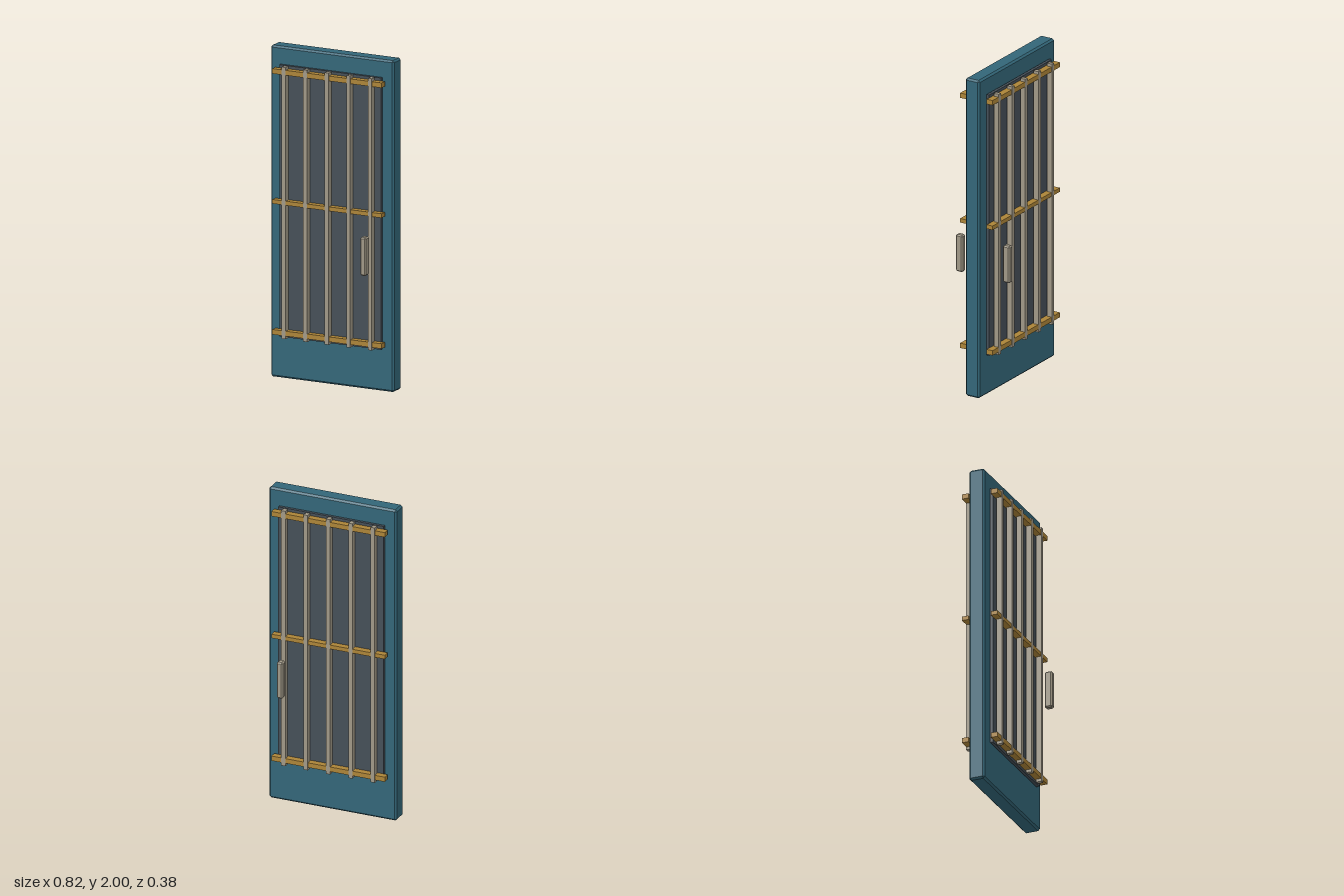
import * as THREE from 'three';
import { ConvexGeometry } from 'three/addons/geometries/ConvexGeometry.js';

const mat = (color) => new THREE.MeshStandardMaterial({ color, flatShading: true });

// Box with every edge and corner cut flat by c
function chamferBox(w, h, d, c) {
  const points = [];
  for (const x of [-1, 1]) for (const y of [-1, 1]) for (const z of [-1, 1]) {
    const X = w / 2, Y = h / 2, Z = d / 2;
    points.push(
      new THREE.Vector3(x * X, y * (Y - c), z * (Z - c)),
      new THREE.Vector3(x * (X - c), y * Y, z * (Z - c)),
      new THREE.Vector3(x * (X - c), y * (Y - c), z * Z));
  }
  return new ConvexGeometry(points);
}

function add(parent, name, geometry, material, x, y, z) {
  const mesh = new THREE.Mesh(geometry, material);
  mesh.name = name;
  mesh.position.set(x, y, z);
  parent.add(mesh);
}

export function createModel() {
  const model = new THREE.Group();
  model.name = 'barredDoor';
  const blue = mat(0x336678), dark = mat(0x454f57), brass = mat(0xac8438), steel = mat(0xa09886);

  // Door slab
  add(model, 'doorSlab', chamferBox(0.82, 2, 0.098, 0.011), blue, 0, 1, 0);

  // Both faces carry the same panel, grille and handle
  for (const s of [1, -1]) {
    const face = new THREE.Group();
    face.name = s > 0 ? 'frontFace' : 'backFace';
    model.add(face);

    // Dark panel standing just off the slab
    add(face, 'panel', new THREE.BoxGeometry(0.676, 1.64, 0.018), dark, 0, 1.075, s * 0.064);

    // Upright bars
    for (let i = -2; i <= 2; i++) {
      add(face, 'bar', new THREE.BoxGeometry(0.026, 1.64, 0.034), steel, i * 0.1435, 1.075, s * 0.0975);
    }

    // Cross rails, the middle one thinner
    for (const [y, h] of [[0.288, 0.03], [1.075, 0.025], [1.862, 0.03]]) {
      add(face, 'crossRail', new THREE.BoxGeometry(0.728, h, 0.041), brass, 0, y, s * 0.0925);
    }

    // Pull handle
    add(face, 'handle', chamferBox(0.039, 0.232, 0.048, 0.008), steel, 0.279, 0.834, s * 0.164);
  }
  return model;
}
